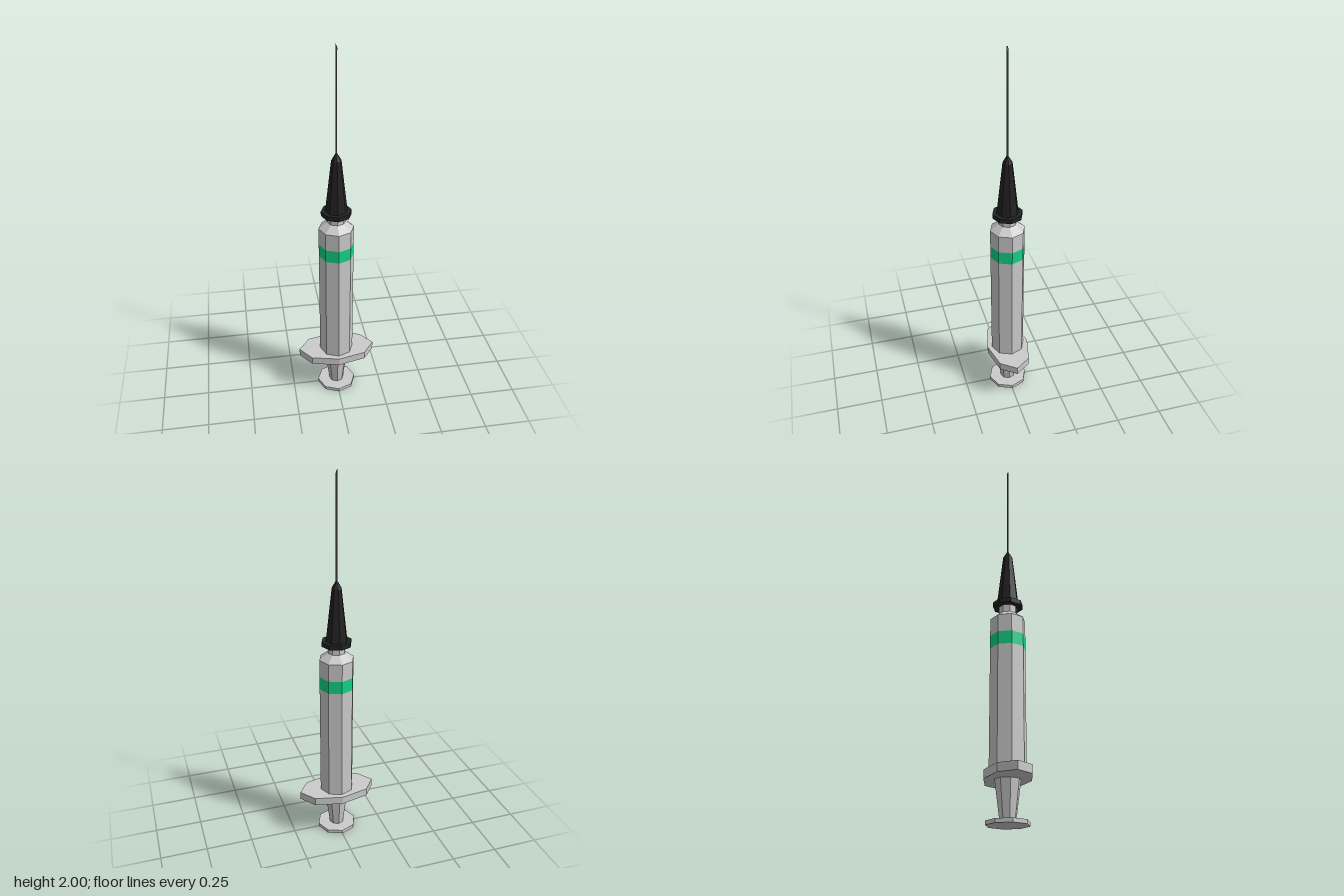
import * as THREE from 'three';

const material = (color) => new THREE.MeshStandardMaterial({ color, flatShading: true });

// Eight-sided turned part from [radius, y] pairs, bottom to top
function turned(name, profile, mat) {
  const points = profile.map(([r, y]) => new THREE.Vector2(r, y));
  const mesh = new THREE.Mesh(new THREE.LatheGeometry(points, 8), mat);
  mesh.name = name;
  return mesh;
}

export function createModel() {
  const model = new THREE.Group();
  model.name = 'syringe';
  const grey = material(0xcccccc);
  const black = material(0x222222);
  const green = material(0x14d28a);

  // Plunger
  model.add(turned('thumbRest', [[0, 0], [0.107, 0], [0.107, 0.02], [0, 0.02]], grey));
  model.add(turned('plungerRod', [[0.04, 0.02], [0.065, 0.215]], grey));

  // Finger flange: a stretched octagonal plate
  const flange = turned('fingerFlange', [[0, 0.212], [1, 0.212], [1, 0.255], [0, 0.255]], grey);
  flange.geometry.scale(0.212, 1, 0.118);
  model.add(flange);

  // Barrel, split by the coloured band
  const r = 0.093;
  model.add(turned('barrel', [[r, 0.255], [r, 0.88]], grey));
  model.add(turned('band', [[r, 0.88], [r, 0.95]], green));
  model.add(turned('barrelTopAndNeck',
    [[r, 0.95], [r, 1.045], [0.047, 1.08], [0.047, 1.12]], grey));

  // Needle hub
  model.add(turned('hubCollar', [[0, 1.12], [0.08, 1.12], [0.08, 1.145], [0, 1.145]], black));
  model.add(turned('hubCone', [[0.058, 1.145], [0.026, 1.425], [0.006, 1.46], [0, 1.46]], black));

  // Square needle with a slanted tip
  const shaft = new THREE.CylinderGeometry(0.0055, 0.0055, 0.55, 4, 1, false, Math.PI / 4);
  shaft.translate(0, 1.725, 0);
  const pos = shaft.attributes.position;
  for (let i = 0; i < pos.count; i++) {
    if (pos.getY(i) > 1.9 && pos.getX(i) > -0.001) {
      pos.setY(i, pos.getX(i) > 0.001 ? 1.98 : 1.99);
    }
  }
  const needle = new THREE.Mesh(shaft, material(0x444444));
  needle.name = 'needle';
  model.add(needle);

  return model;
}
